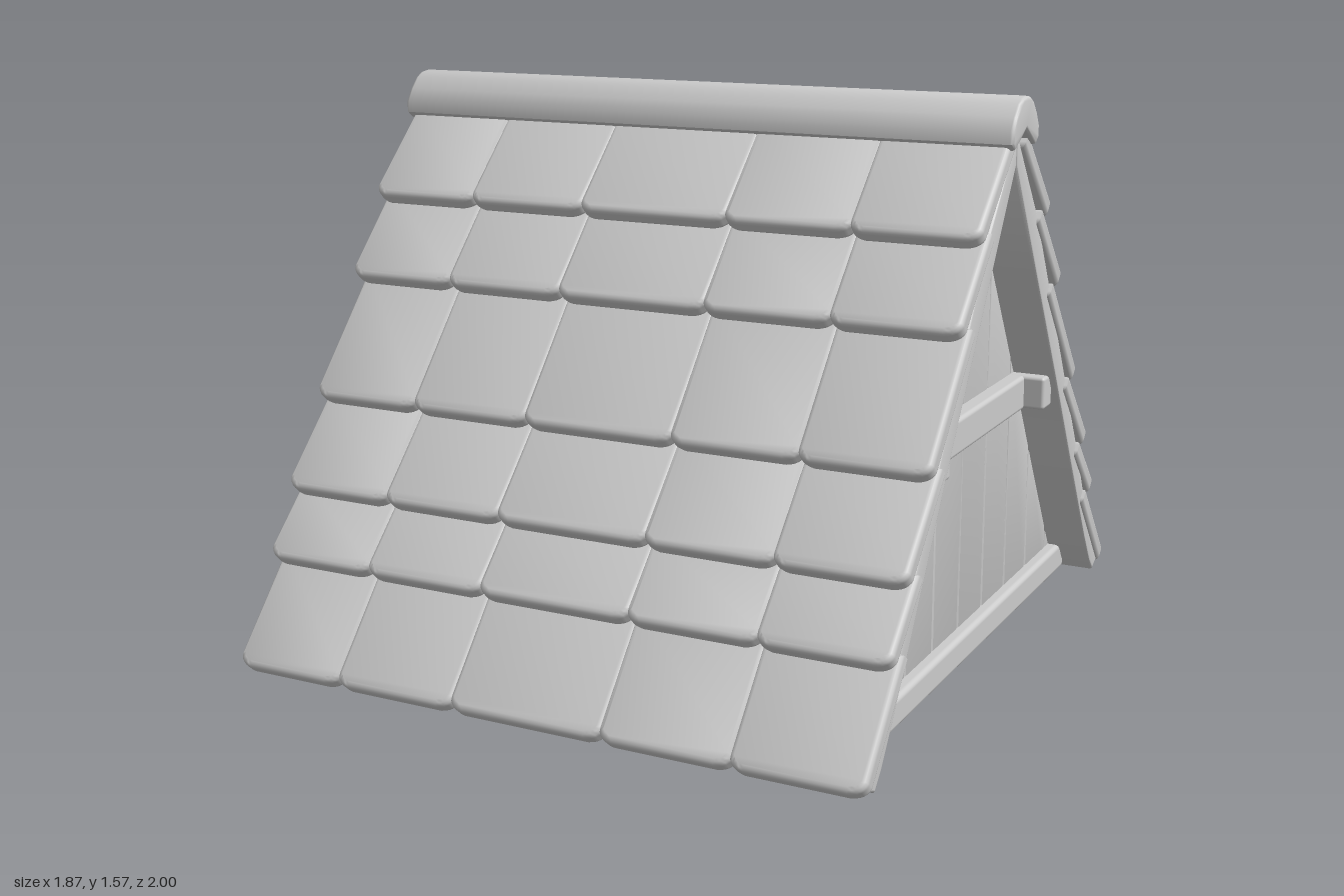
import * as THREE from 'three';
import { toCreasedNormals } from 'three/addons/utils/BufferGeometryUtils.js';
import { RoundedBoxGeometry } from 'three/addons/geometries/RoundedBoxGeometry.js';

const material = new THREE.MeshStandardMaterial({ color: 0xcccccc });

function add(parent, name, geometry, x = 0, y = 0, z = 0) {
  const mesh = new THREE.Mesh(geometry, material);
  mesh.name = name;
  mesh.position.set(x, y, z);
  parent.add(mesh);
  return mesh;
}

// Extrude a shape to an exact depth with rounded edges, centred on its depth.
function extrude(shape, depth, bevel) {
  const g = new THREE.ExtrudeGeometry(shape, {
    depth: depth - 2 * bevel, bevelEnabled: true, bevelThickness: bevel,
    bevelSize: bevel, bevelOffset: -bevel, bevelSegments: 3, curveSegments: 6,
  });
  g.translate(0, 0, bevel - depth / 2);
  return toCreasedNormals(g, 0.8);
}

// Extrude a [z, y] outline along x.
function extrudeAlongX(points, length, bevel) {
  const shape = new THREE.Shape(points.map(([z, y]) => new THREE.Vector2(z, y)));
  return extrude(shape, length, bevel).rotateY(-Math.PI / 2);
}

// Shingle: lower edge at y = 0 with rounded corners, outer face at z = 0.
function tileGeometry(width, length, thickness) {
  const w = width / 2, r = 0.035;
  const s = new THREE.Shape();
  s.moveTo(-w, length);
  s.lineTo(-w, r);
  s.quadraticCurveTo(-w + 0.005, 0.006, -w + r + 0.01, 0);
  s.lineTo(w - r - 0.01, 0);
  s.quadraticCurveTo(w - 0.005, 0.006, w, r);
  s.lineTo(w, length);
  return extrude(s, thickness, 0.016).translate(0, 0, -thickness / 2);
}

// Each row: outer [z, y] at the top and at the lower edge.
const ROWS = [
  [[0.09, 1.45], [0.31, 1.237]],
  [[0.24, 1.225], [0.436, 1.02]],
  [[0.365, 1.0], [0.622, 0.705]],
  [[0.56, 0.69], [0.766, 0.477]],
  [[0.70, 0.46], [0.858, 0.303]],
  [[0.79, 0.285], [1.006, 0.037]],
];
const SEAMS = [-0.92, -0.59, -0.235, 0.205, 0.565, 0.92];

function roofSlope(name, seams) {
  const slope = new THREE.Group();
  slope.name = name;
  // Deck under the shingles, flaring slightly at the eaves.
  add(slope, 'roofDeck', extrudeAlongX([
    [0, 1.47], [0.2, 1.23], [0.37, 0.96], [0.55, 0.67], [0.7, 0.43],
    [0.8, 0.25], [0.965, 0.03], [0.91, 0.004], [0.87, 0.045], [0.8, 0.145],
    [0.62, 0.425], [0.43, 0.725], [0.2, 1.075], [0, 1.385],
  ], 1.82, 0.008));
  // Overlapping shingle rows.
  for (const [[z0, y0], [z1, y1]] of ROWS) {
    const length = Math.hypot(z1 - z0, y1 - y0) + 0.03;
    const angle = Math.atan2(z1 - z0, y0 - y1);
    for (let i = 0; i < seams.length - 1; i++) {
      const left = seams[i] - (i > 0 ? 0.006 : 0);
      const right = seams[i + 1] + (i < seams.length - 2 ? 0.006 : 0);
      const tile = add(slope, 'shingle', tileGeometry(right - left, length, 0.052),
        (left + right) / 2, y1, z1);
      tile.rotation.x = -angle;
    }
  }
  return slope;
}

// Height of the deck underside over the gable at a given z.
const gableTop = (z) => 1.41 - 1.53 * Math.abs(z);

function gable(name) {
  const group = new THREE.Group();
  group.name = name;
  // Vertical planks cut to the roof line.
  for (let i = -5; i < 5; i++) {
    const a = i * 0.2, b = a + 0.2;
    const za = Math.max(a, -0.9), zb = Math.min(b, 0.9);
    const outline = [[za, 0.03], [zb, 0.03], [zb, gableTop(zb)], [za, gableTop(za)]];
    add(group, 'plank', extrudeAlongX(outline, 0.05, 0.008), 0.76);
  }
  // Sill and collar beam, with blocks at the collar's ends.
  add(group, 'sillBeam', new RoundedBoxGeometry(0.12, 0.085, 1.79, 2, 0.015), 0.76, 0.0475, 0);
  add(group, 'collarBeam', new RoundedBoxGeometry(0.14, 0.1, 0.8, 2, 0.012), 0.76, 0.682, 0);
  for (const side of [-1, 1]) {
    add(group, 'collarBlock', new RoundedBoxGeometry(0.2, 0.095, 0.075, 2, 0.01),
      0.79, 0.684, side * 0.425);
  }
  return group;
}

export function createModel() {
  const model = new THREE.Group();
  model.name = 'gabledRoof';

  model.add(roofSlope('frontSlope', SEAMS));
  const back = roofSlope('backSlope', SEAMS.map((x) => -x).reverse());
  back.rotation.y = Math.PI;
  model.add(back);

  model.add(gable('leftGable'));
  const right = gable('rightGable');
  right.rotation.y = Math.PI;
  model.add(right);

  // Rounded cap along the ridge.
  add(model, 'ridgeCap', extrudeAlongX([
    [0, 1.482], [-0.085, 1.435], [-0.108, 1.452], [-0.107, 1.485], [-0.085, 1.52],
    [-0.055, 1.552], [-0.03, 1.565], [0, 1.569], [0.03, 1.565], [0.055, 1.552],
    [0.085, 1.52], [0.107, 1.485], [0.108, 1.452], [0.085, 1.435],
  ], 1.87, 0.01));

  return model;
}
